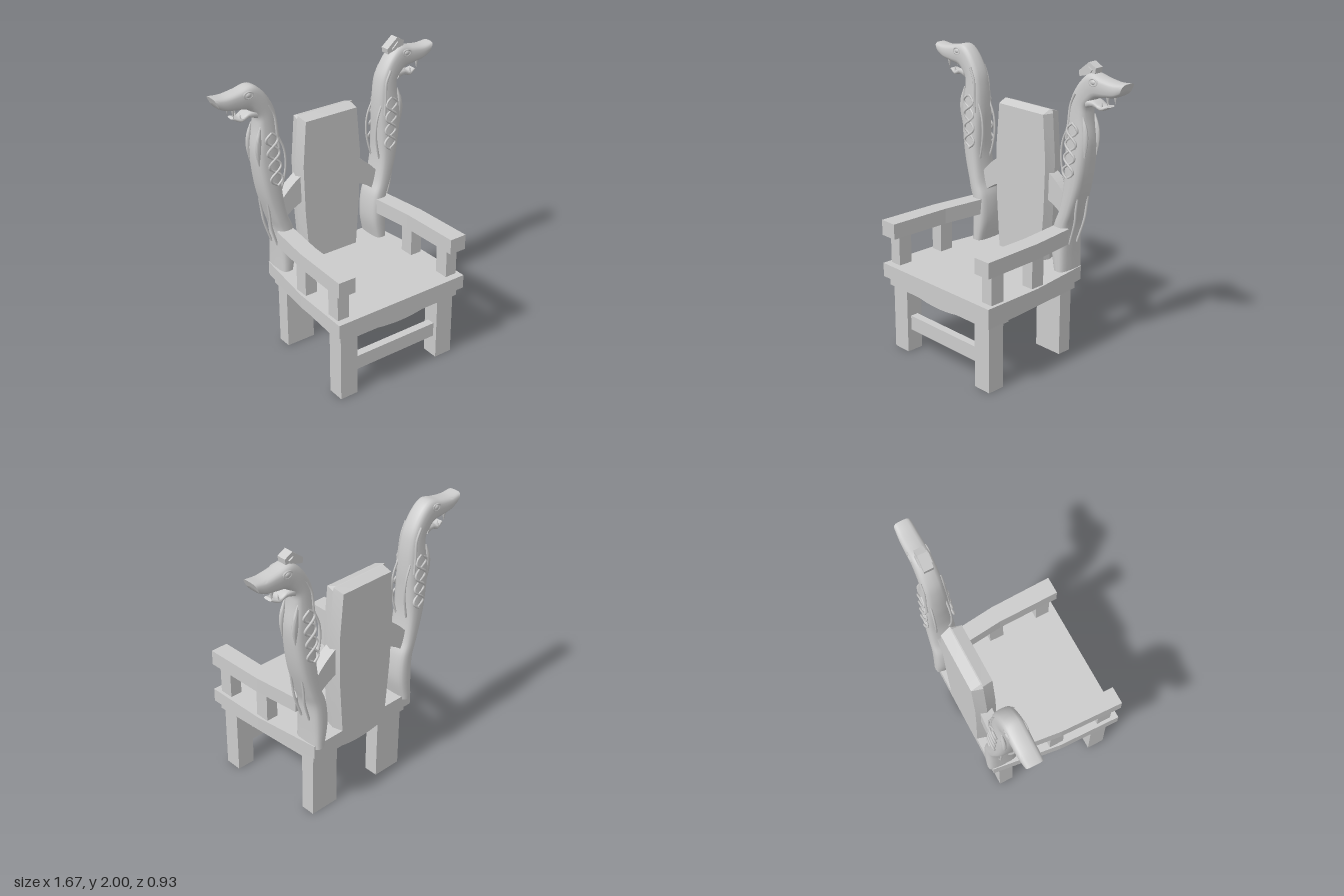
import * as THREE from 'three';
import { toCreasedNormals } from 'three/addons/utils/BufferGeometryUtils.js';

const ZC = -0.357; // depth centre of the carved posts
const material = new THREE.MeshStandardMaterial({ color: 0xcccccc });
const V = (x, y, z) => new THREE.Vector3(x, y, z);

// Skin of rings with fan caps, turned outward, edges sharp above the crease angle
function loft(rings, crease = 0.6) {
  const pos = [], n = rings[0].length;
  const tri = (...p) => p.forEach(v => pos.push(v.x, v.y, v.z));
  for (let i = 0; i < rings.length - 1; i++)
    for (let j = 0; j < n; j++) {
      const a = rings[i], b = rings[i + 1], k = (j + 1) % n;
      tri(a[j], a[k], b[k]);
      tri(a[j], b[k], b[j]);
    }
  const cap = (r, flip) => {
    const c = r.reduce((s, v) => s.add(v), V(0, 0, 0)).divideScalar(n);
    r.forEach((v, j) => flip ? tri(c, r[(j + 1) % n], v) : tri(c, v, r[(j + 1) % n]));
  };
  cap(rings[0], true);
  cap(rings[rings.length - 1], false);
  let volume = 0;
  for (let i = 0; i < pos.length; i += 9) {
    const [a, b, c] = [0, 3, 6].map(o => V(pos[i + o], pos[i + o + 1], pos[i + o + 2]));
    volume += a.dot(b.cross(c));
  }
  const g = new THREE.BufferGeometry();
  g.setAttribute('position', new THREE.Float32BufferAttribute(pos, 3));
  if (volume < 0) flipFaces(g);
  return toCreasedNormals(g, crease);
}

// Swap two corners of every triangle
function flipFaces(g) {
  for (const a of Object.values(g.attributes))
    for (let i = 0; i < a.count; i += 3)
      for (let c = 0; c < a.itemSize; c++) {
        const t = a.getComponent(i + 1, c);
        a.setComponent(i + 1, c, a.getComponent(i + 2, c));
        a.setComponent(i + 2, c, t);
      }
  return g;
}

function mirrored(g) {
  const m = g.index ? g.toNonIndexed() : g.clone();
  m.scale(-1, 1, 1);
  return flipFaces(m);
}

// Rounded-square sections; each is [outer x, outer y, inner x, inner y, half depth]
function carved(sections, steps, power = 0.6, z = ZC) {
  const outer = new THREE.CatmullRomCurve3(sections.map(s => V(s[0], s[1], s[4])));
  const inner = new THREE.CatmullRomCurve3(sections.map(s => V(s[2], s[3], 0)));
  const soft = v => Math.sign(v) * Math.abs(v) ** power;
  const rings = [];
  for (let i = 0; i <= steps; i++) {
    const a = outer.getPoint(i / steps), b = inner.getPoint(i / steps), ring = [];
    for (let j = 0; j < 20; j++) {
      const t = (j / 20) * Math.PI * 2, u = soft(Math.cos(t)) / 2 + 0.5;
      ring.push(V(b.x + (a.x - b.x) * u, b.y + (a.y - b.y) * u, z + a.z * soft(Math.sin(t))));
    }
    rings.push(ring);
  }
  return loft(rings, 0.8);
}

// Plan outline [x, z] raised from y0 to y1
function slab(points, y0, y1) {
  const g = new THREE.ExtrudeGeometry(new THREE.Shape(points.map(p => new THREE.Vector2(p[0], -p[1]))),
    { depth: y1 - y0, bevelEnabled: false });
  return g.rotateX(-Math.PI / 2).translate(0, y0, 0);
}

// Side outline [x, y] given a thickness in z
function plate(shape, z0, z1) {
  return new THREE.ExtrudeGeometry(shape, { depth: z1 - z0, bevelEnabled: false, curveSegments: 10 }).translate(0, 0, z0);
}

const block = (x0, x1, y0, y1, z0, z1) => new THREE.BoxGeometry(x1 - x0, y1 - y0, z1 - z0)
  .translate((x0 + x1) / 2, (y0 + y1) / 2, (z0 + z1) / 2);

const strand = (points, r, steps = 24) =>
  new THREE.TubeGeometry(new THREE.CatmullRomCurve3(points), steps, r, 6);

export function createModel() {
  const model = new THREE.Group();
  const add = (name, g) => {
    const mesh = new THREE.Mesh(g, material);
    mesh.name = name;
    model.add(mesh);
  };
  const pair = (name, g) => {
    add(name + 'Left', g);
    add(name + 'Right', mirrored(g));
  };

  // Seat board, tapering to the back, and the sagging apron beneath
  add('seat', slab([[-0.5, 0.465], [0.5, 0.465], [0.49, 0.03], [0.43, -0.44], [-0.43, -0.44], [-0.49, 0.03]], 0.51, 0.605));
  const sag = new THREE.Shape();
  sag.moveTo(-0.47, 0.51).lineTo(-0.47, 0.45).lineTo(-0.18, 0.45);
  sag.quadraticCurveTo(0, 0.418, 0.18, 0.45).lineTo(0.47, 0.45).lineTo(0.47, 0.51);
  const apron = plate(sag, -0.405, 0.435), ap = apron.attributes.position;
  for (let i = 0; i < ap.count; i++) if (ap.getZ(i) < 0) ap.setX(i, ap.getX(i) * 0.87);
  apron.computeVertexNormals();
  add('apron', apron);

  // Legs and front stretcher
  pair('frontLeg', block(0.325, 0.455, 0, 0.45, 0.295, 0.415));
  pair('backLeg', block(0.185, 0.395, 0, 0.45, -0.385, -0.285));
  add('stretcher', block(-0.325, 0.325, 0.155, 0.255, 0.33, 0.385));

  // Armrests on short posts
  pair('armrest', slab([[0.5, 0.465], [0.487, 0.03], [0.45, -0.29], [0.335, -0.29], [0.37, 0.03], [0.378, 0.465]], 0.803, 0.908));
  pair('frontArmPost', block(0.39, 0.475, 0.6, 0.81, 0.315, 0.415));
  pair('middleArmPost', block(0.385, 0.47, 0.6, 0.81, -0.04, 0.06));

  // Backrest: bowed six-sided panel with a ridged top
  const panel = [[0.6, 0.21, 0.07], [0.95, 0.236, 0.07], [1.3, 0.244, 0.07], [1.607, 0.218, 0.07], [1.63, 0.213, 0.004]]
    .map(([y, w, d]) => [[w, 0], [w - 0.02, d], [0.02 - w, d], [-w, 0], [0.02 - w, -d], [w - 0.02, -d]]
      .map(([x, z]) => V(x, y, -0.37 + z)));
  add('backrest', loft(panel, 0.15));

  // Curved braces from backrest to carved posts
  const brace = new THREE.Shape();
  brace.moveTo(0.22, 1.23).quadraticCurveTo(0.32, 1.17, 0.4, 1.07).lineTo(0.4, 0.92);
  brace.quadraticCurveTo(0.31, 1.01, 0.22, 1.04);
  pair('brace', plate(brace, -0.41, -0.33));

  // Carved posts ending in beast heads that face outward
  pair('beastPost', carved([
    [0.43, 0.58, 0.345, 0.58, 0.104], [0.43, 0.75, 0.312, 0.75, 0.102], [0.437, 0.9, 0.325, 0.92, 0.098],
    [0.468, 1.0, 0.362, 1.02, 0.095], [0.52, 1.17, 0.39, 1.2, 0.09], [0.55, 1.33, 0.39, 1.36, 0.086],
    [0.563, 1.5, 0.387, 1.5, 0.08], [0.54, 1.65, 0.398, 1.67, 0.07], [0.54, 1.715, 0.425, 1.78, 0.066],
    [0.57, 1.755, 0.5, 1.895, 0.064], [0.605, 1.785, 0.565, 1.937, 0.063], [0.68, 1.8, 0.66, 1.918, 0.062],
    [0.755, 1.815, 0.755, 1.905, 0.06], [0.8, 1.838, 0.835, 1.912, 0.055]], 65));
  pair('lowerJaw', carved([
    [0.54, 1.715, 0.55, 1.78, 0.056], [0.6, 1.732, 0.6, 1.768, 0.05],
    [0.65, 1.715, 0.65, 1.745, 0.044], [0.71, 1.745, 0.695, 1.755, 0.03]], 14));

  for (const s of [1, -1]) {
    const side = s > 0 ? 'front' : 'back';
    // Fangs, eyes and brows
    pair(side + 'Fang', new THREE.ConeGeometry(0.013, 0.06, 8).rotateX(Math.PI).translate(0.705, 1.785, ZC + s * 0.035));
    pair(side + 'SmallFang', new THREE.ConeGeometry(0.01, 0.04, 8).translate(0.655, 1.755, ZC + s * 0.03));
    pair(side + 'Eye', new THREE.SphereGeometry(0.016, 12, 8).scale(1.3, 1, 0.7).translate(0.605, 1.888, ZC + s * 0.056));
    pair(side + 'EyeRim', new THREE.TorusGeometry(0.024, 0.006, 6, 18).scale(1.3, 0.9, 1).translate(0.605, 1.888, ZC + s * 0.058));

    // Interlaced knot on each broad face
    for (const w of [1, -1]) {
      const pts = [];
      for (let i = 0; i <= 36; i++) {
        const t = i / 36;
        pts.push(V(0.472 - 0.025 * t + w * 0.043 * Math.sin(t * Math.PI * 4), 1.615 - 0.36 * t,
          ZC + s * (0.08 + 0.014 * t + w * 0.006 * Math.cos(t * Math.PI * 4))));
      }
      pair(side + 'Knot' + (w > 0 ? 'A' : 'B'), strand(pts, 0.008, 72));
    }
    // Raised line from throat to knot
    pair(side + 'NeckLine', strand([V(0.47, 1.8, ZC + s * 0.064), V(0.435, 1.72, ZC + s * 0.064),
      V(0.425, 1.6, ZC + s * 0.07), V(0.415, 1.5, ZC + s * 0.074)], 0.009));

    // Loose tendrils and leaf strips along the edges
    pair(side + 'InnerTendril', strand([V(0.41, 1.58, ZC + s * 0.05), V(0.367, 1.47, ZC + s * 0.055),
      V(0.358, 1.36, ZC + s * 0.055), V(0.378, 1.24, ZC + s * 0.05), V(0.405, 1.15, ZC + s * 0.04)], 0.007));
    pair(side + 'OuterTendril', strand([V(0.5, 1.12, ZC + s * 0.05), V(0.488, 1.03, ZC + s * 0.05),
      V(0.478, 0.95, ZC + s * 0.045), V(0.43, 0.79, ZC + s * 0.035)], 0.008));
    pair(side + 'Leaf', carved([[0.535, 1.66, 0.53, 1.66, 0.004], [0.568, 1.58, 0.53, 1.58, 0.014],
      [0.575, 1.5, 0.53, 1.5, 0.014], [0.556, 1.4, 0.54, 1.4, 0.003]], 14, 1, ZC + s * 0.055));
  }

  // Crest plate, worn by the left head only
  const crest = new THREE.Shape([[0.47, 1.9], [0.465, 1.935], [0.545, 2], [0.6, 1.97], [0.595, 1.935], [0.54, 1.92]]
    .map(p => new THREE.Vector2(...p)));
  add('crest', plate(crest, -0.388, -0.326));
  const boss = new THREE.Shape([[0.5, 1.93], [0.545, 1.972], [0.575, 1.955], [0.565, 1.935]]
    .map(p => new THREE.Vector2(...p)));
  add('crestBoss', plate(boss, -0.398, -0.316));

  return model;
}
